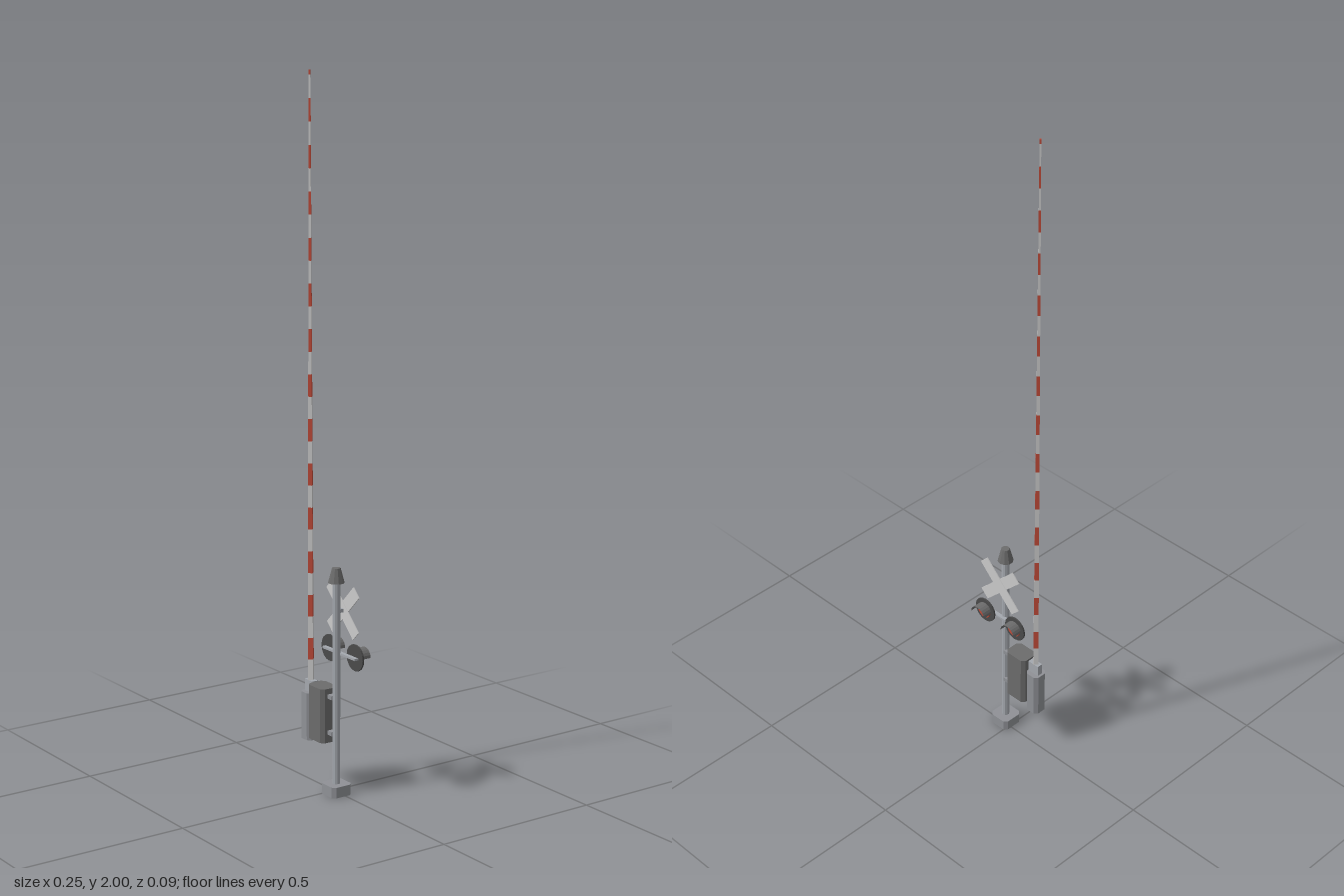
import * as THREE from 'three';

const mat = (color) => new THREE.MeshStandardMaterial({ color, flatShading: true, side: THREE.DoubleSide });
const steel = mat(0xa4a8ae), grey = mat(0x8f9196), dark = mat(0x6c6c6c), black = mat(0x4a4a4a);
const white = mat(0xcccccc), red = mat(0xc04a38);

const POLE_X = 0.024, POLE_Z = 0.009, ARM_X = -0.099;

function add(parent, name, geometry, material, x, y, z) {
  const mesh = new THREE.Mesh(geometry, material);
  mesh.name = name;
  mesh.position.set(x, y, z);
  parent.add(mesh);
  return mesh;
}

const box = (w, h, d) => new THREE.BoxGeometry(w, h, d);

// Upright prism with cut corners, standing on y = 0
function chamferedPrism(w, d, h, c) {
  const a = w / 2, b = d / 2;
  const shape = new THREE.Shape([
    [a - c, -b], [a, c - b], [a, b - c], [a - c, b],
    [c - a, b], [-a, b - c], [-a, c - b], [c - a, -b],
  ].map(([x, y]) => new THREE.Vector2(x, y)));
  return new THREE.ExtrudeGeometry(shape, { depth: h, bevelEnabled: false }).rotateX(-Math.PI / 2);
}

export function createModel() {
  const model = new THREE.Group();
  model.name = 'crossingSignal';

  // Mast with foot and cap
  const mast = new THREE.Group();
  mast.name = 'mast';
  mast.position.set(POLE_X, 0, POLE_Z);
  model.add(mast);
  add(mast, 'foot', chamferedPrism(0.066, 0.066, 0.031, 0.01), grey, 0, 0, 0);
  add(mast, 'pole', new THREE.CylinderGeometry(0.011, 0.011, 0.59, 10), steel, 0, 0.32, 0);
  add(mast, 'cap', new THREE.CylinderGeometry(0.012, 0.023, 0.042, 10), dark, 0, 0.632, 0);

  // Crossed boards on the back of the mast
  const cross = new THREE.Group();
  cross.name = 'crossbuck';
  cross.position.set(POLE_X, 0.53, -0.014);
  model.add(cross);
  [1, -1].forEach((s, i) => {
    add(cross, 'board', box(0.176, 0.036, 0.003), white, 0, 0, i * 0.0015).rotation.z = s * Math.PI / 4;
  });
  add(cross, 'boardBracket', box(0.014, 0.01, 0.02), steel, 0, 0, 0.011);

  // Pair of hooded lamps on a crossbar
  const lamps = new THREE.Group();
  lamps.name = 'lamps';
  lamps.position.set(POLE_X, 0.407, 0);
  model.add(lamps);
  add(lamps, 'lampBar', box(0.154, 0.006, 0.012), steel, 0, 0, -0.004);
  for (const s of [-1, 1]) {
    const lamp = new THREE.Group();
    lamp.name = s < 0 ? 'rightLamp' : 'leftLamp';
    lamp.position.x = s * 0.06;
    lamps.add(lamp);
    const disc = (r, h) => new THREE.CylinderGeometry(r, r, h, 16).rotateX(Math.PI / 2);
    add(lamp, 'backplate', disc(0.038, 0.005), black, 0, 0, -0.0125);
    add(lamp, 'lens', disc(0.023, 0.006), red, 0, 0, -0.017);
    // Open half tube shading the lens from above
    const hood = new THREE.CylinderGeometry(0.026, 0.026, 0.031, 10, 1, true, Math.PI / 2, Math.PI);
    add(lamp, 'hood', hood.rotateX(Math.PI / 2), dark, 0, 0, -0.03);
  }

  // Gate motor cabinet, clamped to the mast
  add(model, 'cabinet', chamferedPrism(0.074, 0.057, 0.157, 0.01), dark, -0.036, 0.145, 0.0125);
  for (const y of [0.175, 0.28]) {
    add(model, 'clamp', box(0.022, 0.012, 0.026), grey, 0.009, y, POLE_Z);
  }

  // Pivoting counterweight and arm holder
  add(model, 'counterweight', chamferedPrism(0.046, 0.046, 0.138, 0.01), grey, -0.1, 0.13, 0.009);
  add(model, 'armHolder', box(0.038, 0.036, 0.018), steel, -0.097, 0.284, POLE_Z);
  add(model, 'pivot', new THREE.CylinderGeometry(0.008, 0.008, 0.03, 8).rotateZ(Math.PI / 2), steel, -0.075, 0.255, POLE_Z);

  // Raised tapering arm, banded in alternating colours
  const arm = new THREE.Group();
  arm.name = 'gateArm';
  arm.position.set(ARM_X, 0, POLE_Z);
  model.add(arm);
  const radius = (y) => THREE.MathUtils.lerp(0.0105, 0.003, (y - 0.3) / 1.7);
  const band = 0.0625;
  let y = 0.3;
  for (let i = 0; y < 1.999; i++) {
    const end = Math.min(2, 0.3 + (i + 1) * band);
    const geometry = new THREE.CylinderGeometry(radius(end), radius(y), end - y, 4);
    add(arm, i % 2 ? 'redBand' : 'whiteBand', geometry, i % 2 ? red : white, 0, (y + end) / 2, 0);
    y = end;
  }
  return model;
}
